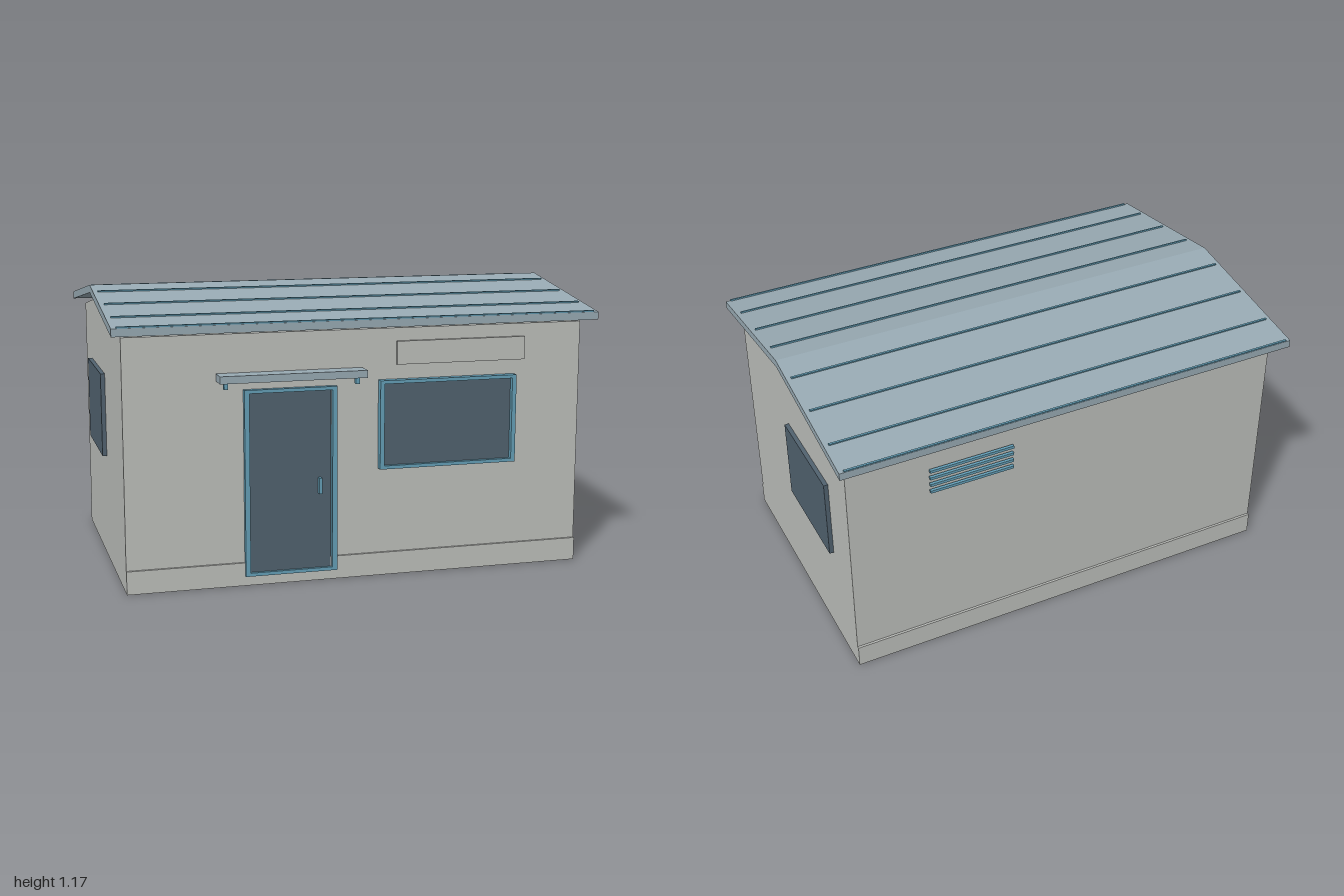
import * as THREE from 'three';

const material = (name, color) => {
  const m = new THREE.MeshStandardMaterial({ color });
  m.name = name;
  return m;
};

export function createModel() {
  const wall = material('pale grey wall', 0xbdbfbb);
  const roofing = material('blue grey roofing', 0x98aab3);
  const glass = material('dark slate glass', 0x51626f);
  const trim = material('teal trim', 0x649fb7);

  const model = new THREE.Group();
  model.name = 'cabin';

  // Box given by its lower and upper limits on each axis
  function box(name, mat, [x0, x1], [y0, y1], [z0, z1], parent = model) {
    const mesh = new THREE.Mesh(new THREE.BoxGeometry(x1 - x0, y1 - y0, z1 - z0), mat);
    mesh.position.set((x0 + x1) / 2, (y0 + y1) / 2, (z0 + z1) / 2);
    mesh.name = name;
    parent.add(mesh);
    return mesh;
  }

  // Outline in [z, y] pairs, extruded from x0 to x1
  function profile(name, mat, points, x0, x1, parent = model) {
    const shape = new THREE.Shape(points.map(([z, y]) => new THREE.Vector2(-z, y)));
    const geometry = new THREE.ExtrudeGeometry(shape, { depth: x1 - x0, bevelEnabled: false });
    geometry.rotateY(Math.PI / 2).translate(x0, 0, 0);
    const mesh = new THREE.Mesh(geometry, mat);
    mesh.name = name;
    parent.add(mesh);
  }

  // Rectangular frame cut from one sheet
  function frame(name, [x0, x1], [y0, y1], [z0, z1], side, bottom) {
    const rect = (T, a, b, c, d) =>
      new T([[a, c], [b, c], [b, d], [a, d]].map(([x, y]) => new THREE.Vector2(x, y)));
    const shape = rect(THREE.Shape, x0, x1, y0, y1);
    shape.holes.push(rect(THREE.Path, x0 + side, x1 - side, y0 + bottom, y1 - bottom));
    const geometry = new THREE.ExtrudeGeometry(shape, { depth: z1 - z0, bevelEnabled: false });
    const mesh = new THREE.Mesh(geometry, trim);
    mesh.position.z = z0;
    mesh.name = name;
    model.add(mesh);
  }

  // Walls, plinth and gable panels
  box('walls', wall, [-0.955, 0.955], [0, 1.023], [-0.588, 0.59]);
  box('plinthFront', wall, [-0.955, 0.955], [0, 0.095], [0.58, 0.6]);
  box('plinthBack', wall, [-0.955, 0.955], [0, 0.095], [-0.598, -0.58]);
  for (const x of [-0.955, 0.94]) {
    profile('gable', wall, [[0.59, 1.023], [-0.588, 1.023], [0, 1.12]], x, x + 0.015);
  }

  // Pitched roof with seams running along it
  const roof = new THREE.Group();
  roof.name = 'roof';
  model.add(roof);
  const ridge = 1.167, eave = 1.069, half = 0.667, thick = 0.032;
  profile('roofSheet', roofing, [
    [half, eave - thick], [0, ridge - thick], [-half, eave - thick],
    [-half, eave], [0, ridge], [half, eave],
  ], -1, 1, roof);
  const pitch = Math.atan2(ridge - eave, half);
  for (const side of [-1, 1]) {
    for (const z of [0.12, 0.318, 0.514, 0.662]) {
      const y = ridge - z * Math.tan(pitch);
      const seam = box('roofSeam', trim, [-0.98, 0.98], [y - 0.004, y + 0.006],
        [side * z - 0.004, side * z + 0.004], roof);
      seam.rotation.x = side * pitch;
    }
  }

  // Door, its frame and handle
  box('doorPanel', glass, [-0.455, -0.122], [0.055, 0.788], [0.585, 0.603]);
  frame('doorFrame', [-0.477, -0.097], [0.04, 0.8], [0.589, 0.613], 0.02, 0.014);
  box('doorHandle', trim, [-0.175, -0.163], [0.365, 0.43], [0.603, 0.622]);

  // Canopy over the door on two brackets
  box('canopy', roofing, [-0.585, 0.012], [0.838, 0.868], [0.589, 0.667]);
  for (const x of [-0.555, -0.02]) {
    box('canopyBracket', trim, [x - 0.008, x + 0.008], [0.81, 0.838], [0.618, 0.638]);
  }

  // Front window and blank sign board
  box('frontWindow', glass, [0.1, 0.645], [0.464, 0.8], [0.585, 0.605]);
  frame('frontWindowFrame', [0.08, 0.665], [0.45, 0.815], [0.59, 0.622], 0.018, 0.014);
  box('signBoard', wall, [0.155, 0.705], [0.875, 0.97], [0.585, 0.604]);

  // Side windows
  for (const s of [-1, 1]) {
    box('sideWindow', glass, s > 0 ? [0.95, 0.973] : [-0.973, -0.95], [0.448, 0.8], [-0.385, 0.065]);
  }

  // Vent slats on the back wall
  for (let i = 0; i < 4; i++) {
    const y = 0.798 + i * 0.033;
    box('ventSlat', trim, [0.25, 0.612], [y - 0.006, y + 0.006], [-0.607, -0.594]);
  }

  return model;
}
